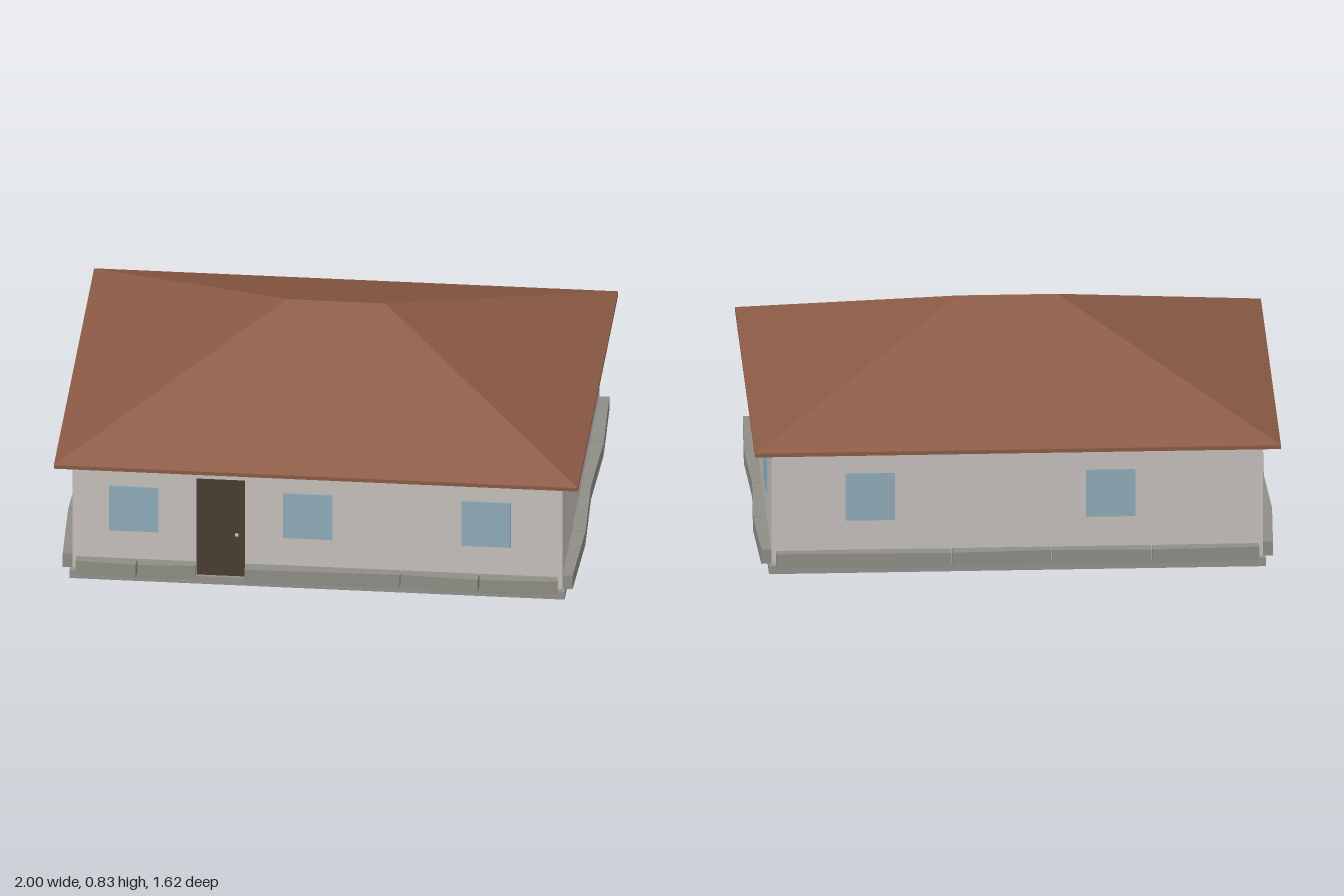
import * as THREE from 'three';

const material = (name, color) => {
  const m = new THREE.MeshStandardMaterial({ color });
  m.name = name;
  return m;
};

export function createModel() {
  const plaster = material('plaster', 0xc5bfbb);
  const roofTile = material('roof tile', 0x8b5a44);
  const stone = material('stone', 0x8e8e86);
  const concrete = material('concrete', 0x93918d);
  const glass = material('glass', 0x8fabb8);
  const doorWood = material('door wood', 0x4a3c2f);
  const metal = material('handle metal', 0xc8c8c8);

  const house = new THREE.Group();
  house.name = 'house';

  // Box given by its low and high corners
  const box = (parent, name, mat, [x0, y0, z0], [x1, y1, z1]) => {
    const mesh = new THREE.Mesh(new THREE.BoxGeometry(x1 - x0, y1 - y0, z1 - z0), mat);
    mesh.position.set((x0 + x1) / 2, (y0 + y1) / 2, (z0 + z1) / 2);
    mesh.name = name;
    parent.add(mesh);
    return mesh;
  };

  // Floor slab
  box(house, 'floorSlab', concrete, [-0.945, 0, -0.765], [0.945, 0.033, 0.765]);

  // Each side is laid out facing +z, then turned into place
  const DOOR = [-0.46, -0.275];
  const sides = [
    { name: 'front', turn: 0, half: 0.92, face: 0.755, door: true,
      windows: [-0.7, -0.035, 0.645], seams: [-0.92, -0.685, -0.46, -0.275, 0.32, 0.62, 0.92] },
    { name: 'back', turn: Math.PI, half: 0.92, face: 0.755,
      windows: [-0.56, 0.355], seams: [-0.92, -0.25, 0.13, 0.51, 0.92] },
    { name: 'left', turn: Math.PI / 2, half: 0.74, face: 0.935,
      windows: [0.365], seams: [-0.74, -0.37, 0, 0.37, 0.74] },
    { name: 'right', turn: -Math.PI / 2, half: 0.74, face: 0.935,
      windows: [0.365], seams: [-0.74, -0.37, 0, 0.37, 0.74] },
  ];

  for (const { name, turn, half, face, door, windows, seams } of sides) {
    const side = new THREE.Group();
    side.name = name + 'Side';
    side.rotation.y = turn;
    house.add(side);

    // Wall, open at the doorway; corners stay notched
    const inner = face - 0.03;
    const spans = door ? [[-half, DOOR[0]], [DOOR[1], half]] : [[-half, half]];
    for (const [a, b] of spans) box(side, 'wall', plaster, [a, 0.033, inner], [b, 0.495, face]);

    // Door, lintel and handle
    if (door) {
      box(side, 'lintel', plaster, [DOOR[0], 0.445, inner], [DOOR[1], 0.495, face]);
      box(side, 'door', doorWood, [DOOR[0], 0.033, inner], [DOOR[1], 0.445, face - 0.002]);
      box(side, 'doorHandle', metal, [-0.314, 0.207, face - 0.002], [-0.3, 0.216, face + 0.006]);
    }

    // Windows
    for (const x of windows) {
      box(side, 'window', glass, [x - 0.094, 0.21, face - 0.001], [x + 0.094, 0.4, face + 0.007]);
    }

    // Loosely aligned stone plinth blocks
    for (let i = 0; i < seams.length - 1; i++) {
      const a = seams[i], b = seams[i + 1];
      if (door && a === DOOR[0]) continue;
      const block = box(side, 'plinthBlock', stone,
        [a + 0.002, 0.033, face - 0.005], [b - 0.002, 0.09, face + 0.045]);
      block.rotation.y = (i % 2 ? 1 : -1) * 0.014 / (b - a);
    }
  }

  // Eaves board
  box(house, 'eaves', roofTile, [-1, 0.49, -0.812], [1, 0.505, 0.812]);

  // Hipped roof: a box whose top is drawn in to the ridge
  const hip = new THREE.BoxGeometry(2, 0.33, 1.624).toNonIndexed();
  const p = hip.attributes.position;
  for (let i = 0; i < p.count; i++) {
    if (p.getY(i) > 0) p.setXYZ(i, Math.sign(p.getX(i)) * 0.188, p.getY(i), 0);
  }
  hip.computeVertexNormals();
  const roof = new THREE.Mesh(hip, roofTile);
  roof.position.y = 0.505 + 0.165;
  roof.name = 'hippedRoof';
  house.add(roof);

  return house;
}
